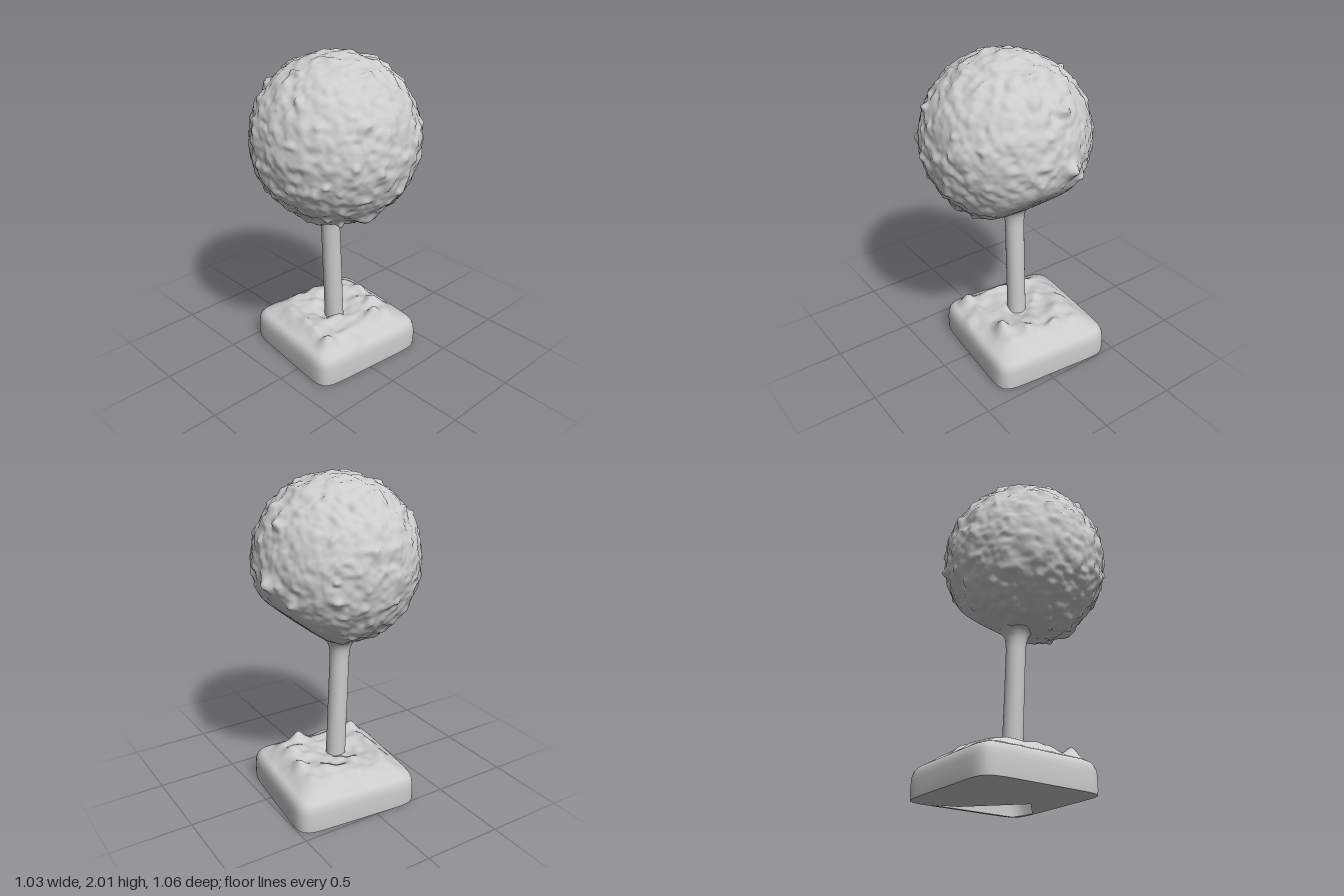
import * as THREE from 'three';
import { mergeVertices } from 'three/addons/utils/BufferGeometryUtils.js';

const material = new THREE.MeshStandardMaterial({ color: 0xcccccc, side: THREE.DoubleSide });
const { lerp, smoothstep } = THREE.MathUtils;

// Repeatable smooth value noise, 0..1
function hash(x, y, z) {
  let h = (x * 374761393 + y * 668265263 + z * 1274126177) | 0;
  h = Math.imul(h ^ (h >>> 13), 1274126177);
  h = Math.imul(h ^ (h >>> 15), 2246822519);
  return ((h ^ (h >>> 16)) >>> 0) / 4294967296;
}
function noise(px, py, pz) {
  const x = Math.floor(px), y = Math.floor(py), z = Math.floor(pz);
  const [u, v, w] = [px - x, py - y, pz - z].map(t => t * t * (3 - 2 * t));
  const row = (j, k) => lerp(hash(x, y + j, z + k), hash(x + 1, y + j, z + k), u);
  return lerp(lerp(row(0, 0), row(1, 0), v), lerp(row(0, 1), row(1, 1), v), w);
}

function addMesh(group, name, geometry) {
  const mesh = new THREE.Mesh(geometry, material);
  mesh.name = name;
  group.add(mesh);
}

// Clipped ball of leaves: lumpy all over, smooth and flattened low at the back
function foliageGeometry() {
  let geometry = new THREE.IcosahedronGeometry(1, 44);
  geometry.deleteAttribute('uv');
  geometry.deleteAttribute('normal');
  geometry = mergeVertices(geometry, 1e-5);
  const cut = new THREE.Vector3(0, -0.77, -0.635);
  const bumps = [
    [new THREE.Vector3(-0.18, -0.1, -0.98).normalize(), 0.05],
    [new THREE.Vector3(0.62, -0.78, 0.1).normalize(), 0.03],
    [new THREE.Vector3(0.88, 0.1, -0.47).normalize(), 0.02]
  ];
  const p = geometry.attributes.position, d = new THREE.Vector3();
  for (let i = 0; i < p.count; i++) {
    d.fromBufferAttribute(p, i).normalize();
    const n = f => noise(d.x * f + 40, d.y * f + 40, d.z * f + 40);
    const facing = d.dot(cut);
    const rough = 1 - 0.95 * smoothstep(facing, 0.72, 0.92);
    let r = 0.504;
    // Soft blend between the round ball and the flat cut
    if (facing > 0.4) r = -Math.log(Math.exp(-70 * r) + Math.exp(-70 * 0.446 / facing)) / 70;
    r += rough * (0.014 * (n(6) - 0.5) + 0.017 * (n(12) - 0.5) + 0.008 * (n(22) - 0.5)
      + 0.03 * Math.pow(n(9.5), 6));
    for (const [dir, height] of bumps) r += height * Math.exp((d.dot(dir) - 1) * 250);
    p.setXYZ(i, d.x * r, 1.492 + d.y * r, 0.021 + d.z * r);
  }
  geometry.computeVertexNormals();
  return geometry;
}

// Slightly leaning trunk that flares into the foliage
function trunkGeometry() {
  const profile = [[0.062, 0.17], [0.061, 0.4], [0.06, 0.65], [0.06, 0.88], [0.064, 0.94],
    [0.075, 0.975], [0.09, 0.998], [0.113, 1.022], [0.135, 1.045], [0.155, 1.07]];
  const geometry = new THREE.LatheGeometry(profile.map(q => new THREE.Vector2(...q)), 40);
  const p = geometry.attributes.position;
  for (let i = 0; i < p.count; i++) {
    const t = (p.getY(i) - 0.2) / 0.8;
    const wobble = 0.004 * (noise(p.getX(i) * 20 + 9, p.getY(i) * 9, p.getZ(i) * 20 + 9) - 0.5);
    p.setX(i, p.getX(i) - 0.06 + wobble);
    p.setZ(i, p.getZ(i) + lerp(-0.022, 0.012, t));
  }
  geometry.computeVertexNormals();
  return geometry;
}

// Point at angle a on a rounded, slightly turned square
const SEGMENTS = 120;
function basePoint(i, scale) {
  const a = i / SEGMENTS * Math.PI * 2, c = Math.cos(a), d = Math.sin(a);
  const k = Math.pow(Math.abs(c) ** 9 + Math.abs(d) ** 9, -1 / 9) * scale;
  const s = (c * k + 1) / 2, t = (d * k + 1) / 2;
  return [
    lerp(lerp(-0.455, 0.347, s), lerp(-0.525, 0.272, s), t),
    lerp(lerp(-0.508, -0.43, s), lerp(0.3, 0.382, s), t)
  ];
}

// Height of the soil mound above its flat level
function soilHeight(x, z, scale) {
  const soil = smoothstep(1 - scale, 0.04, 0.4);
  const n = f => noise(x * f + 20, 3.5, z * f + 20) - 0.5;
  // A shallow dip surrounds the trunk
  const dip = 0.035 * Math.exp(-((x + 0.06) ** 2 + (z + 0.02) ** 2) * 60);
  let h = soil * (0.072 - dip + 0.055 * n(9) + 0.035 * n(18));
  const clods = [[0.16, 0.24, 0.055], [0.16, -0.17, 0.055], [0.03, -0.28, 0.03], [-0.25, -0.2, 0.02],
    [-0.15, -0.32, 0.03], [0.24, 0.08, 0.02], [-0.1, 0.2, 0.02]];
  for (const [cx, cz, height] of clods) h += height * Math.exp(-((x - cx) ** 2 + (z - cz) ** 2) * 500);
  return h;
}

// Planter block with rough soil, built from rounded-square rings [scale, y]
function baseGeometry() {
  const rings = [[0.995, 0], [1, 0.03], [1, 0.07], [0.997, 0.11], [0.99, 0.14], [0.97, 0.165], [0.94, 0.18]];
  for (let i = 0; i <= 46; i++) rings.push([0.91 * (1 - i / 46) + 0.0005, 0.185]);
  const positions = [], index = [];
  for (const [scale, y] of rings) {
    for (let i = 0; i < SEGMENTS; i++) {
      const [x, z] = basePoint(i, scale);
      positions.push(x, y > 0.17 ? y + soilHeight(x, z, scale) : y, z);
    }
  }
  for (let r = 0; r < rings.length - 1; r++) {
    for (let i = 0; i < SEGMENTS; i++) {
      const a = r * SEGMENTS + i, b = r * SEGMENTS + (i + 1) % SEGMENTS;
      index.push(a, a + SEGMENTS, b, b, a + SEGMENTS, b + SEGMENTS);
    }
  }
  const geometry = new THREE.BufferGeometry();
  geometry.setAttribute('position', new THREE.Float32BufferAttribute(positions, 3));
  geometry.setIndex(index);
  geometry.computeVertexNormals();
  return geometry;
}

// Flat underside with an opening near the back left corner
function undersideGeometry() {
  const toPoints = list => list.map(q => new THREE.Vector2(...q));
  const outline = Array.from({ length: SEGMENTS }, (_, i) => basePoint(i, 0.995));
  const shape = new THREE.Shape(toPoints(outline));
  const opening = [[0.31, -0.25], [0.12, -0.06], [-0.14, -0.4], [-0.28, -0.465], [0.29, -0.405]];
  shape.holes.push(new THREE.Path(toPoints(opening)));
  return new THREE.ShapeGeometry(shape).rotateX(Math.PI / 2);
}

export function createModel() {
  const group = new THREE.Group();
  group.name = 'topiaryTree';
  addMesh(group, 'foliage', foliageGeometry());
  addMesh(group, 'trunk', trunkGeometry());
  addMesh(group, 'planterBase', baseGeometry());
  addMesh(group, 'underside', undersideGeometry());
  return group;
}
